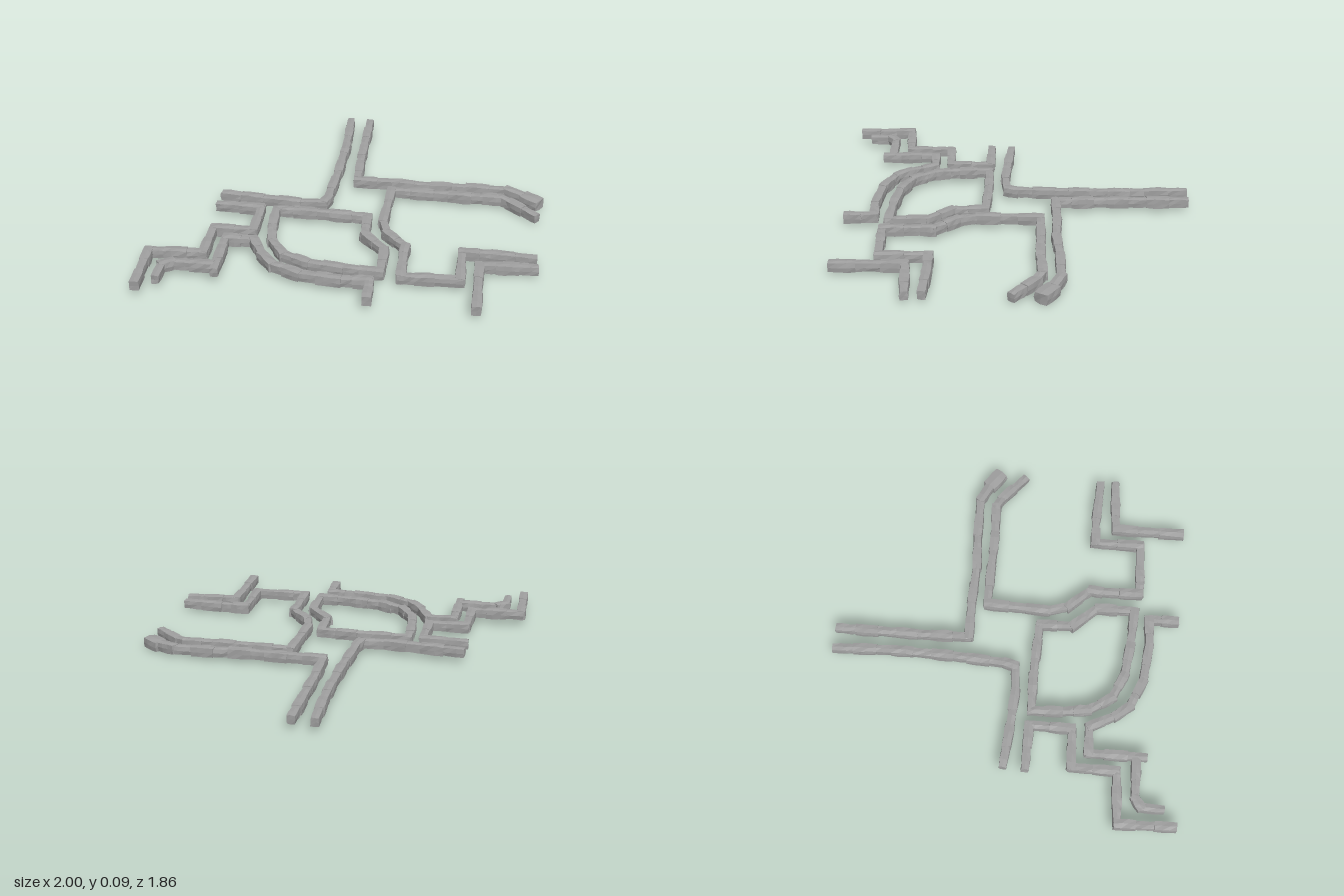
import * as THREE from 'three';

const stoneMat = new THREE.MeshStandardMaterial({ color: 0xa0a0a0 });
stoneMat.name = 'grey stone';

// Wall centre lines as [x, z] with an optional height of the centre
const walls = {
  backLeftWall: [[-0.125, -0.93], [-0.115, -0.6], [-0.125, -0.3], [-0.145, 0], [-0.16, 0.05], [-0.3, 0.06], [-0.5, 0.045], [-0.72, 0.022]],
  backRightWall: [[-0.01, -0.925], [-0.015, -0.5], [-0.01, -0.21], [0.2, -0.21], [0.4, -0.2], [0.6, -0.21], [0.81, -0.21], [0.9, -0.165, 0.034]],
  rightWall: [[0.97, 0.035, 0.029], [0.83, -0.09, 0.033], [0.77, -0.12], [0.6, -0.115], [0.4, -0.12], [0.185, -0.125], [0.175, 0.1],
    [0.17, 0.2], [0.2, 0.31], [0.305, 0.43], [0.3, 0.48], [0.3, 0.695], [0.45, 0.69], [0.59, 0.69], [0.59, 0.44], [0.75, 0.44], [0.965, 0.453]],
  frontRightWall: [[0.97, 0.535], [0.68, 0.55], [0.675, 0.925]],
  centreRoom: [[-0.4, 0.15], [-0.2, 0.15], [0.085, 0.165], [0.09, 0.34], [0.2, 0.47], [0.2, 0.67], [0, 0.655], [-0.17, 0.63],
    [-0.3, 0.57], [-0.375, 0.45], [-0.395, 0.3], [-0.4, 0.15]],
  steppedWall: [[-0.725, 0.138], [-0.48, 0.145], [-0.485, 0.37], [-0.69, 0.375], [-0.695, 0.61], [-0.97, 0.622], [-0.965, 0.925]],
  frontWall: [[-0.61, 0.765], [-0.61, 0.46], [-0.465, 0.46], [-0.4, 0.59], [-0.34, 0.665], [-0.2, 0.73], [0, 0.755], [0.155, 0.75], [0.155, 0.91]],
  frontLeftBranch: [[-0.88, 0.86], [-0.875, 0.74], [-0.83, 0.71], [-0.62, 0.71]],
};

let seed = 7;
const rand = () => (seed = (seed * 16807) % 2147483647) / 2147483647;

// The whole layout slopes gently down towards +x
const centre = ([x, z, y]) => new THREE.Vector3(x, y ?? 0.05 - 0.012 * x, z);

// One rough hewn block from a to b, with softened corners and uneven faces
function stone(a, b, width, height) {
  const length = a.distanceTo(b);
  const geo = new THREE.BoxGeometry(1, 1, 1, 3, 2, 2);
  const p = geo.attributes.position;
  const offsets = {};
  for (let i = 0; i < p.count; i++) {
    const v = new THREE.Vector3().fromBufferAttribute(p, i);
    const key = v.toArray().map((n) => n.toFixed(2)).join();
    offsets[key] ??= [rand() - 0.5, rand() - 0.5, rand() - 0.5];
    const [dx, dy, dz] = offsets[key];
    const edge = Math.abs(v.y) > 0.4 && Math.abs(v.z) > 0.4 ? 0.92 : 1;
    const end = Math.abs(v.x) > 0.4 ? 0.96 : 1;
    p.setXYZ(i, v.x * length + dx * 0.006, v.y * height * edge * end + dy * 0.004, v.z * width * edge * end + dz * 0.005);
  }
  // Flat facets
  const flat = geo.toNonIndexed();
  flat.computeVertexNormals();
  const mesh = new THREE.Mesh(flat, stoneMat);
  mesh.name = 'stone';
  mesh.position.copy(a).add(b).multiplyScalar(0.5);
  mesh.quaternion.setFromUnitVectors(new THREE.Vector3(1, 0, 0), b.clone().sub(a).normalize());
  // Keep the block upright
  const d = b.clone().sub(a);
  mesh.rotation.set(0, Math.atan2(-d.z, d.x), Math.atan2(d.y, Math.hypot(d.x, d.z)), 'YXZ');
  return mesh;
}

// A row of blocks following a path, overlapping at the joints and corners
function buildWall(name, path) {
  const wall = new THREE.Group();
  wall.name = name;
  const closed = path[0].join() === path[path.length - 1].join();
  let course = 0;
  for (let i = 0; i < path.length - 1; i++) {
    const a = centre(path[i]);
    const b = centre(path[i + 1]);
    const dir = b.clone().sub(a).normalize();
    if (i > 0 || closed) a.addScaledVector(dir, -0.016);
    if (i < path.length - 2 || closed) b.addScaledVector(dir, 0.016);
    const n = Math.max(1, Math.round(a.distanceTo(b) / 0.115));
    for (let k = 0; k < n; k++, course++) {
      const s = a.clone().lerp(b, k / n);
      const e = a.clone().lerp(b, (k + 1) / n);
      if (k > 0) s.addScaledVector(dir, -0.006);
      if (k < n - 1) e.addScaledVector(dir, 0.006);
      const wide = course % 2;
      wall.add(stone(s, e, wide ? 0.052 : 0.044, wide ? 0.056 : 0.05));
    }
  }
  return wall;
}

export function createModel() {
  const model = new THREE.Group();
  model.name = 'stoneMaze';
  for (const [name, path] of Object.entries(walls)) model.add(buildWall(name, path));

  // Larger block closing the right end of the back wall
  const endBlock = stone(centre([0.895, -0.17, 0.032]), centre([0.985, -0.105, 0.03]), 0.082, 0.058);
  endBlock.name = 'endBlock';
  model.add(endBlock);
  return model;
}
